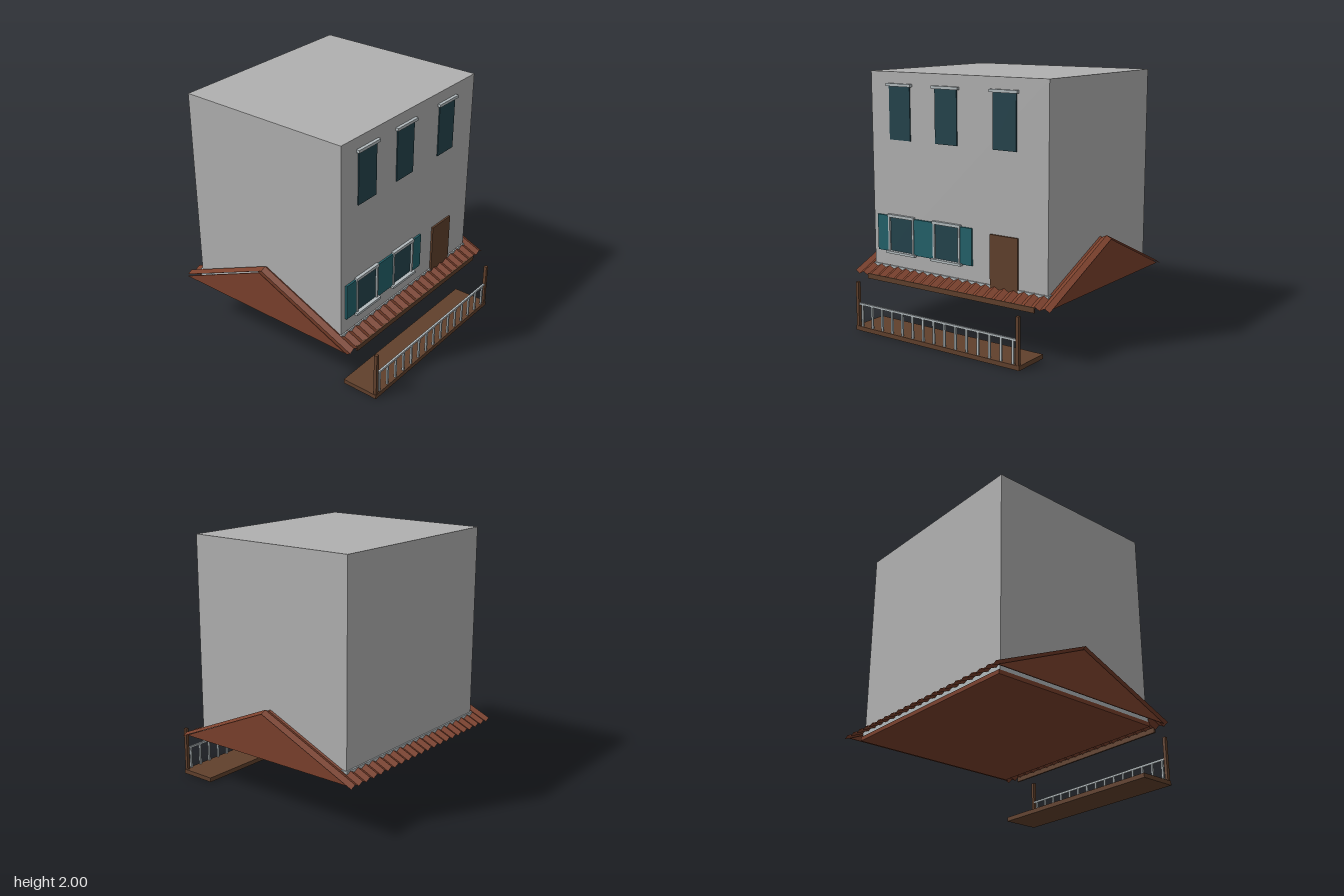
import * as THREE from 'three';

const mat = (name, color, extra = {}) => Object.assign(new THREE.MeshStandardMaterial({ color, ...extra }), { name });

export function createModel() {
  const model = new THREE.Group();
  model.name = 'house';
  const wall = mat('wall grey', 0xb0b0b0);
  const trim = mat('trim pale grey', 0xb2babd);
  const tile = mat('roof red brown', 0x7a402c, { side: THREE.DoubleSide });
  const wood = mat('wood brown', 0x60402c);
  const glass = mat('glass dark teal', 0x24434c);
  const teal = mat('shutter teal', 0x23616a);

  // Box given by its extents on each axis
  function box(name, material, [x0, x1], [y0, y1], [z0, z1], parent = model) {
    const mesh = new THREE.Mesh(new THREE.BoxGeometry(x1 - x0, y1 - y0, z1 - z0), material);
    mesh.position.set((x0 + x1) / 2, (y0 + y1) / 2, (z0 + z1) / 2);
    mesh.name = name;
    parent.add(mesh);
    return mesh;
  }

  // Main block, skirting and base slab
  const front = 0.63;
  box('walls', wall, [-0.82, 0.82], [0.42, 2], [-0.8, front]);
  box('skirting', trim, [-0.83, 0.83], [0.42, 0.478], [-0.812, 0.64]);
  box('baseSlab', tile, [-0.835, 0.835], [0.388, 0.42], [-0.825, 0.65]);

  // Corrugated roof slopes
  const ridgeZ = -0.09, ridgeY = 0.79, eaveY = 0.425, half = 0.92, folds = 43;
  function roofSlope(name, eaveZ) {
    const side = Math.sign(eaveZ);
    const geo = new THREE.PlaneGeometry(2 * half, 1, folds, 1);
    const p = geo.attributes.position;
    for (let i = 0; i < p.count; i++) {
      const x = p.getX(i) * side;
      const t = 0.5 - p.getY(i);
      const fold = Math.round((x + half) / (2 * half) * folds);
      const drop = fold % 2 ? 0.022 : 0;
      p.setXYZ(i, x, ridgeY + (eaveY - ridgeY) * t - drop, ridgeZ + (eaveZ - ridgeZ) * t);
    }
    const flat = geo.toNonIndexed();
    flat.computeVertexNormals();
    const mesh = new THREE.Mesh(flat, tile);
    mesh.name = name;
    model.add(mesh);
  }
  roofSlope('frontRoof', 0.76);
  roofSlope('backRoof', -0.92);

  // Gable plates closing the roof ends
  const gable = new THREE.Shape([
    new THREE.Vector2(-0.73, 0.412), new THREE.Vector2(0.89, 0.412), new THREE.Vector2(-ridgeZ, 0.768),
  ]);
  for (const side of [-1, 1]) {
    const geo = new THREE.ExtrudeGeometry(gable, { depth: 0.008, bevelEnabled: false });
    const mesh = new THREE.Mesh(geo, tile);
    mesh.rotation.y = Math.PI / 2;
    mesh.position.x = side * 0.9 - 0.004;
    mesh.name = side > 0 ? 'leftGable' : 'rightGable';
    model.add(mesh);
  }

  // Upper windows with lintels
  for (const x of [-0.532, -0.083, 0.447]) {
    box('upperWindow', glass, [x - 0.103, x + 0.103], [1.48, 1.89], [front, 0.638]);
    box('upperLintel', trim, [x - 0.122, x + 0.122], [1.89, 1.912], [front, 0.655]);
  }

  // Lower windows: pane, frame, lintel and sill
  for (const x of [-0.532, -0.082]) {
    const w = new THREE.Group();
    w.name = 'lowerWindow';
    model.add(w);
    box('pane', glass, [x - 0.114, x + 0.114], [0.6, 0.87], [front, 0.638], w);
    for (const s of [-1, 1]) {
      const c = x + s * 0.121;
      box('frameSide', trim, [c - 0.008, c + 0.008], [0.6, 0.87], [front, 0.652], w);
    }
    box('lintel', trim, [x - 0.133, x + 0.133], [0.87, 0.893], [front, 0.655], w);
    box('sill', trim, [x - 0.145, x + 0.145], [0.583, 0.602], [front, 0.668], w);
  }

  // Shutters and door
  for (const span of [[-0.773, -0.661], [-0.403, -0.211], [0.047, 0.155]]) {
    box('shutter', teal, span, [0.595, 0.88], [front, 0.645]);
  }
  box('door', wood, [0.322, 0.568], [0.42, 0.86], [front, 0.645]);

  // Veranda: deck, posts, beam and railing
  box('deck', wood, [-0.775, 0.775], [0, 0.035], [0.62, 0.92]);
  box('eaveBeam', wood, [-0.79, 0.79], [0.378, 0.418], [0.745, 0.76]);
  for (const s of [-1, 1]) {
    const c = s * 0.755;
    box('post', wood, [c - 0.013, c + 0.013], [0.035, 0.388], [0.892, 0.918]);
  }
  box('handrail', trim, [-0.742, 0.742], [0.206, 0.222], [0.897, 0.913]);
  for (let i = -7; i <= 7; i++) {
    const c = i * 0.102;
    box('baluster', trim, [c - 0.008, c + 0.008], [0.035, 0.206], [0.898, 0.912]);
  }
  return model;
}
